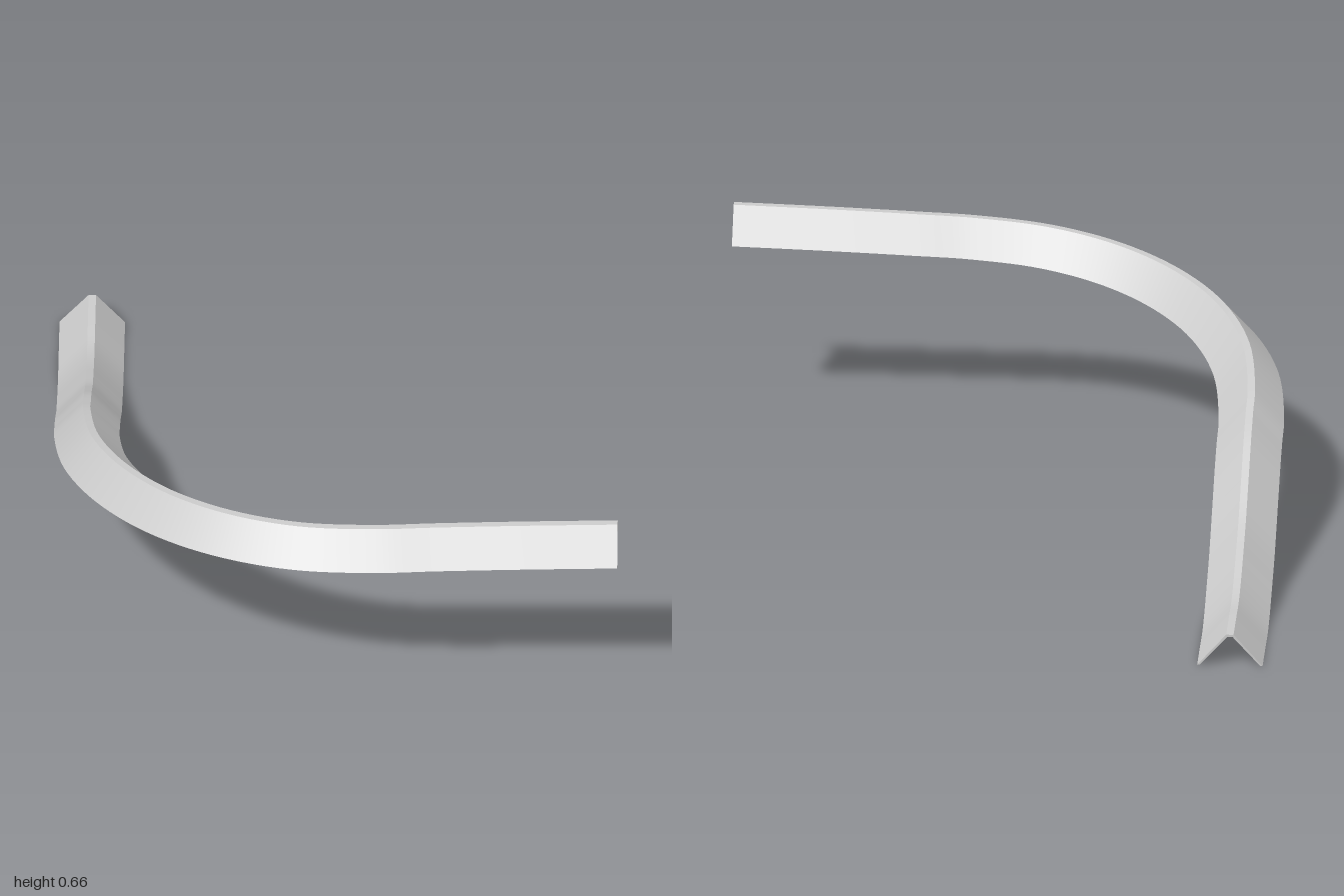
import * as THREE from 'three';

// Centreline: a straight run along z, a quarter bend, then a straight run along x
function centreline() {
  const pts = [
    [-1, 0], [-0.86, 0], [-0.74, 0], [-0.64, 0.02], [-0.52, 0.062], [-0.4, 0.11], [-0.26, 0.192],
    [-0.12, 0.276], [-0.03, 0.316],
  ].map(([z, y]) => new THREE.Vector3(-0.745, y, z));
  const bend = [0.35, 0.408, 0.45, 0.48, 0.504, 0.522, 0.535];
  bend.forEach((y, i) => {
    const a = (i / (bend.length - 1)) * Math.PI / 2;
    pts.push(new THREE.Vector3(0.12 - 0.865 * Math.cos(a), y, 0.06 + 0.84 * Math.sin(a)));
  });
  for (const [x, y] of [[0.3, 0.543], [0.55, 0.552], [0.84, 0.56]]) pts.push(new THREE.Vector3(x, y, 0.9));
  return new THREE.CatmullRomCurve3(pts, false, 'centripetal');
}

// Thin inverted V with a narrow flat ridge: (outward, up), counter-clockwise
const PROFILE = [
  [0.097, 0], [0.011, 0.098], [-0.011, 0.098], [-0.097, 0],
  [-0.09, 0], [-0.008, 0.091], [0.008, 0.091], [0.09, 0],
].map(([u, v]) => new THREE.Vector2(u, v));

function sweep(curve, profile, steps) {
  const pos = [], index = [];
  const rings = [];
  for (let i = 0; i <= steps; i++) {
    const p = curve.getPoint(i / steps);
    const t = curve.getTangent(i / steps).setY(0).normalize();
    // sections stay upright, turned to the horizontal direction of travel
    rings.push(profile.map(({ x: u, y: v }) => [p.x - t.z * u, p.y + v, p.z + t.x * u]));
  }
  // one strip per profile edge keeps the long edges sharp
  profile.forEach((_, j) => {
    const k = (j + 1) % profile.length;
    const base = pos.length / 3;
    rings.forEach((ring, i) => {
      pos.push(...ring[j], ...ring[k]);
      if (i === steps) return;
      const a = base + i * 2;
      index.push(a, a + 2, a + 1, a + 1, a + 2, a + 3);
    });
  });
  // end caps
  const tris = THREE.ShapeUtils.triangulateShape(profile, []);
  [rings[0], rings[steps]].forEach((ring, end) => {
    const base = pos.length / 3;
    ring.forEach((p) => pos.push(...p));
    for (const [a, b, c] of tris) {
      if (end) index.push(base + a, base + c, base + b);
      else index.push(base + a, base + b, base + c);
    }
  });
  const g = new THREE.BufferGeometry();
  g.setAttribute('position', new THREE.Float32BufferAttribute(pos, 3));
  g.setIndex(index);
  g.computeVertexNormals();
  return g;
}

export function createModel() {
  const group = new THREE.Group();
  group.name = 'curvedRail';
  const material = new THREE.MeshStandardMaterial({ color: 0xcccccc, side: THREE.DoubleSide });
  const rail = new THREE.Mesh(sweep(centreline(), PROFILE, 108), material);
  rail.name = 'angleRail';
  group.add(rail);
  return group;
}
